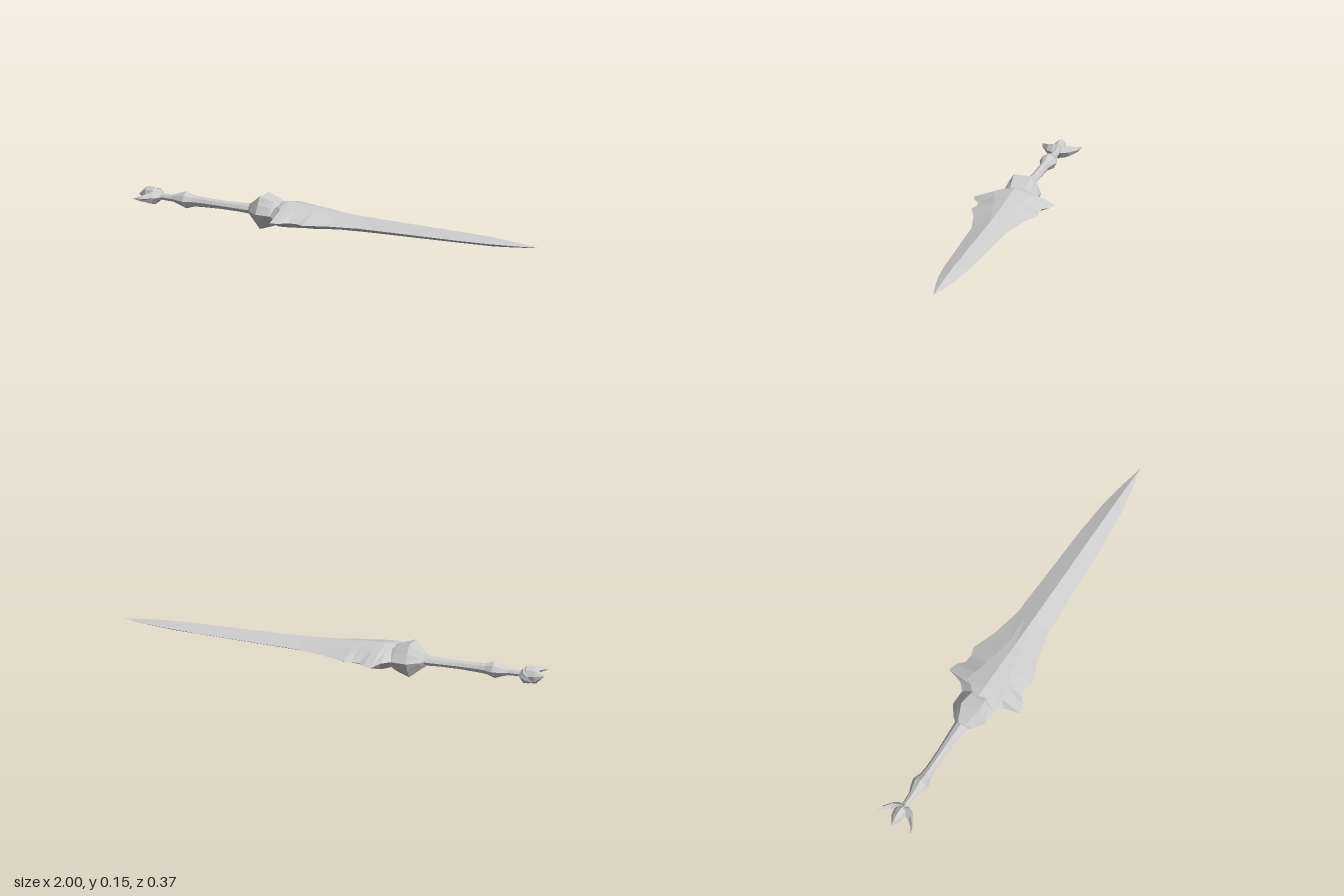
import * as THREE from 'three';

const CENTRE_Y = 0.075;

// Skins a list of equal-sized rings of [x, y, z] points into a faceted surface.
function loft(rings) {
  const pos = [];
  const tri = (a, b, c) => {
    const [A, B, C] = [a, b, c].map((p) => new THREE.Vector3(...p));
    if (B.sub(A).cross(C.sub(A)).length() > 1e-9) pos.push(...a, ...b, ...c);
  };
  for (let i = 0; i < rings.length - 1; i++) {
    const r = rings[i], s = rings[i + 1], n = r.length;
    for (let j = 0; j < n; j++) {
      const k = (j + 1) % n;
      tri(r[j], s[j], s[k]);
      tri(r[j], s[k], r[k]);
    }
  }
  const g = new THREE.BufferGeometry();
  g.setAttribute('position', new THREE.Float32BufferAttribute(pos, 3));
  g.computeVertexNormals();
  return g;
}

// Mirrors a quarter outline of [z, y] pairs (side to top) into a full ring at x.
function ringAt(x, quarter) {
  const top = [...quarter, ...quarter.map(([z, y]) => [-z, y]).reverse()];
  const bottom = top.slice(1, -1).map(([z, y]) => [z, -y]).reverse();
  return [...top, ...bottom].map(([z, y]) => [x, y, z]);
}

// Eight-sided ring with pointed top and sides.
const gemRing = ([x, w, h]) => ringAt(x, [[w, 0], [w * 0.65, h * 0.65], [0, h]]);

export function createModel() {
  const steel = new THREE.MeshStandardMaterial({ color: 0xcccccc, flatShading: true });
  steel.name = 'steel grey';
  const sword = new THREE.Group();
  sword.name = 'sword';
  const add = (name, rings) => {
    const mesh = new THREE.Mesh(loft(rings), steel);
    mesh.name = name;
    mesh.position.y = CENTRE_Y;
    sword.add(mesh);
  };

  // Blade: x, half width, half height, shoulder z, shoulder y
  add('blade', [
    [-0.35, 0, 0], [-0.33, 0.06, 0.04], [-0.27, 0.115, 0.055, 0.06, 0.042],
    [-0.25, 0.187, 0.059, 0.09, 0.037], [-0.21, 0.175, 0.057, 0.08, 0.038],
    [-0.18, 0.147, 0.055, 0.07, 0.038], [-0.14, 0.142, 0.053, 0.06, 0.037],
    [-0.105, 0.155, 0.05, 0.05, 0.038], [0, 0.115, 0.04, 0.03, 0.032],
    [0.14, 0.083, 0.035], [0.62, 0.06, 0.025], [0.77, 0.046, 0.021],
    [0.885, 0.026, 0.012], [1, 0, 0],
  ].map(([x, w, h, m = w / 2, k = h / 2]) => ringAt(x, [[w, 0], [m, k], [0, h]])));

  // Guard collar: x, half width, half height, half width of the flat top
  add('guard', [
    [-0.45, 0, 0, 0], [-0.44, 0.03, 0.026, 0.014], [-0.425, 0.05, 0.035, 0.022],
    [-0.375, 0.085, 0.075, 0.042], [-0.31, 0.084, 0.054, 0.036],
    [-0.25, 0.06, 0.024, 0.025], [-0.24, 0, 0, 0],
  ].map(([x, w, h, f]) => ringAt(x, [[w, 0], [(w + f) / 2, h * 0.55], [f, h]])));

  // Grip with a swollen knuckle near the pommel: x, half width, half height
  add('grip', [
    [-0.93, 0.012, 0.012], [-0.88, 0.016, 0.015], [-0.83, 0.018, 0.017],
    [-0.8, 0.03, 0.026], [-0.765, 0.04, 0.039], [-0.725, 0.026, 0.026],
    [-0.69, 0.022, 0.023], [-0.59, 0.023, 0.02], [-0.5, 0.028, 0.021], [-0.42, 0.032, 0.026],
  ].map(gemRing));

  // Pommel gem: faceted spike
  add('pommelGem', [
    [-1, 0, 0], [-0.96, 0.026, 0.039], [-0.92, 0.032, 0.04], [-0.87, 0, 0],
  ].map(gemRing));

  // Pommel crescent: z, inner x, outer x, half height
  const horn = [
    [0.092, -0.985, -0.985, 0], [0.08, -0.967, -0.942, 0.011],
    [0.048, -0.937, -0.9, 0.024], [0.02, -0.93, -0.886, 0.03],
  ];
  const crescent = [...horn, ...horn.map(([z, ...rest]) => [-z, ...rest]).reverse()];
  add('pommelCrescent', crescent.map(([z, a, b, h]) => {
    const mid = (a + b) / 2;
    return [[b, 0, z], [mid, h, z], [a, 0, z], [mid, -h, z]];
  }));

  return sword;
}
